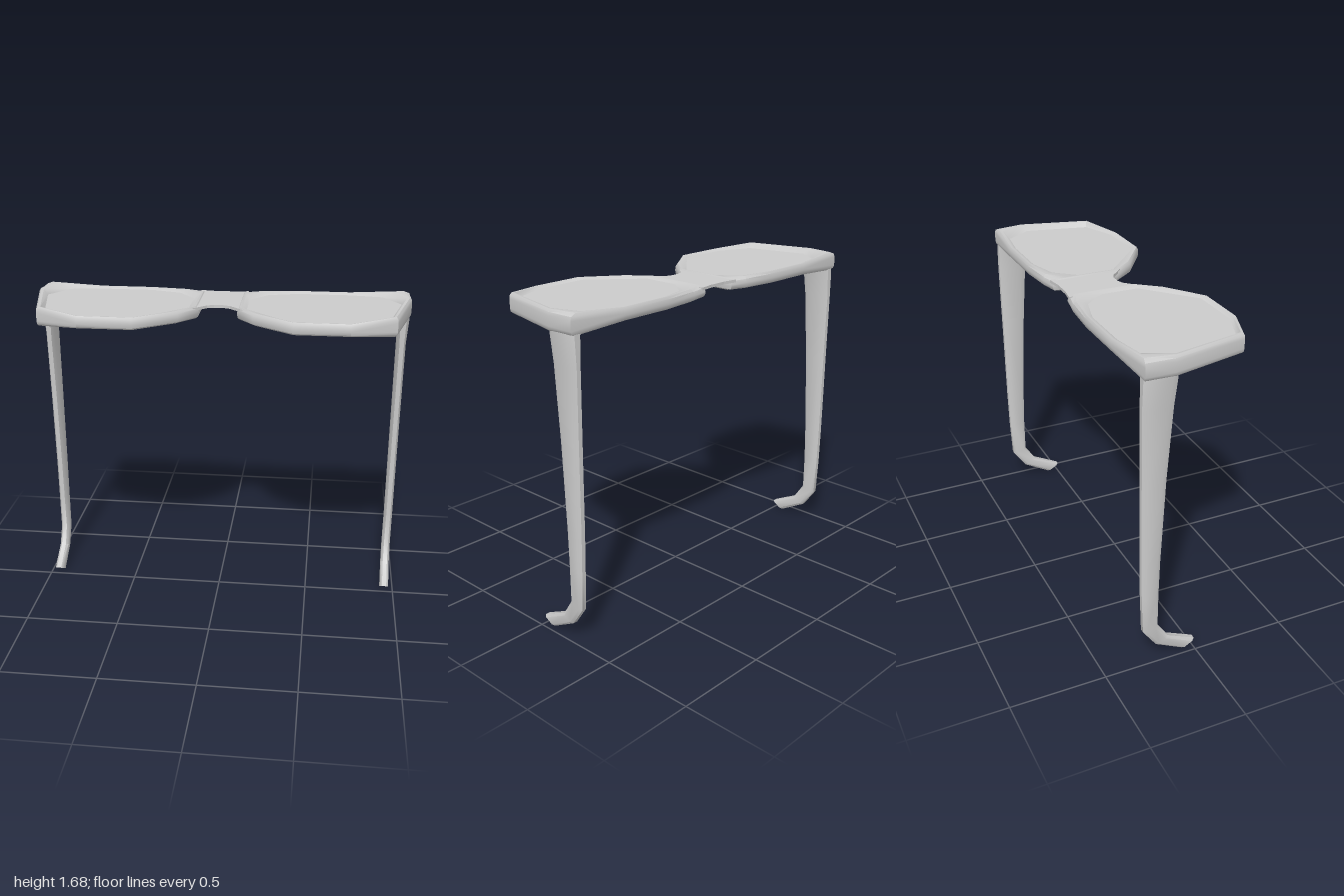
import * as THREE from 'three';
import { toCreasedNormals } from 'three/addons/utils/BufferGeometryUtils.js';

const material = new THREE.MeshStandardMaterial({ color: 0xcccccc, side: THREE.DoubleSide });

// Outer rim and lens outlines of the left half as matching [x, z] pairs
const OUTER = [[0.1, -0.3], [0.2, -0.315], [0.4, -0.33], [0.68, -0.33], [1, -0.31], [1, -0.16],
  [0.91, 0.23], [0.68, 0.325], [0.4, 0.325], [0.19, 0.18], [0.1, 0.06]];
const LENS = [[0.15, -0.14], [0.24, -0.25], [0.4, -0.295], [0.68, -0.295], [0.85, -0.27], [0.945, -0.13],
  [0.87, 0.21], [0.68, 0.285], [0.4, 0.285], [0.25, 0.15], [0.15, 0.06]];

// Skin a list of rings; side -1 mirrors across x and keeps the faces outward
function loft(rings, side, { loop = false, ringClosed = false, cap = false }) {
  const n = rings[0].length;
  const positions = rings.flat().flatMap(([x, y, z]) => [x * side, y, z]);
  const index = [];
  const tri = (a, b, c) => index.push(...(side > 0 ? [a, b, c] : [a, c, b]));
  for (let i = 0; i < rings.length - (loop ? 0 : 1); i++) {
    const k = (i + 1) % rings.length;
    for (let j = 0; j < n - (ringClosed ? 0 : 1); j++) {
      const m = (j + 1) % n;
      const a = i * n + j, b = k * n + j, c = k * n + m, d = i * n + m;
      tri(a, b, c);
      tri(a, c, d);
    }
  }
  if (cap) {
    const last = (rings.length - 1) * n;
    for (let j = 1; j < n - 1; j++) {
      tri(0, j, j + 1);
      tri(last, last + j + 1, last + j);
    }
  }
  const geometry = new THREE.BufferGeometry();
  geometry.setAttribute('position', new THREE.Float32BufferAttribute(positions, 3));
  geometry.setIndex(index);
  return toCreasedNormals(geometry, 0.75);
}

// Flat slab from an [x, z] outline
function slab(points, bottom, top) {
  const shape = new THREE.Shape(points.map(([x, z]) => new THREE.Vector2(x, -z)));
  return new THREE.ExtrudeGeometry(shape, { depth: top - bottom, bevelEnabled: false })
    .rotateX(-Math.PI / 2).translate(0, bottom, 0);
}

// Rounded rim that thickens toward the hinge corners
function rimGeometry(side) {
  const rings = OUTER.map(([ox, oz], i) => {
    const [lx, lz] = LENS[i];
    const grow = 0.02 * THREE.MathUtils.clamp((ox - 0.7) / 0.23, 0, 1);
    const top = 1.665 + grow, bottom = 1.602 - grow;
    const section = [[0, 1.655], [0.45, top - 0.002], [0.75, top], [0.95, top - 0.012], [1, top - 0.03],
      [1, bottom + 0.025], [0.95, bottom + 0.008], [0.75, bottom], [0, 1.605]];
    return section.map(([t, y]) => [lx + (ox - lx) * t, y, lz + (oz - lz) * t]);
  });
  return loft(rings, side, { loop: true });
}

// Temple arm: front [y, z], back [y, z], inner x, outer x
const ARM = [
  [1.64, -0.135, 1.64, -0.305, 0.92, 0.992],
  [1.57, -0.138, 1.57, -0.308, 0.928, 0.994],
  [1.43, -0.153, 1.43, -0.31, 0.938, 0.985],
  [1.05, -0.18, 1.05, -0.305, 0.938, 0.984],
  [0.6, -0.2, 0.6, -0.3, 0.938, 0.983],
  [0.4, -0.205, 0.4, -0.295, 0.938, 0.983],
  [0.21, -0.205, 0.19, -0.285, 0.936, 0.982],
  [0.12, -0.145, 0.085, -0.21, 0.932, 0.979],
  [0.045, 0.01, 0.005, -0.06, 0.926, 0.974],
];
function templeGeometry(side) {
  // [across, front to back] around the chamfered section
  const section = [[1, 0.2], [1, 0.8], [0.75, 1], [0.25, 1], [0, 0.8], [0, 0.2], [0.25, 0], [0.75, 0]];
  const rings = ARM.map(([fy, fz, by, bz, inner, outer]) => section.map(([u, v]) =>
    [inner + (outer - inner) * u, fy + (by - fy) * v, fz + (bz - fz) * v]));
  return loft(rings, side, { ringClosed: true, cap: true });
}

export function createModel() {
  const glasses = new THREE.Group();
  glasses.name = 'glasses';
  const add = (name, geometry) => {
    const mesh = new THREE.Mesh(geometry, material);
    mesh.name = name;
    glasses.add(mesh);
  };

  for (const [label, side] of [['left', 1], ['right', -1]]) {
    add(label + 'Rim', rimGeometry(side));
    add(label + 'Lens', slab(LENS.map(([x, z]) => [x * side, z]), 1.605, 1.655));
    add(label + 'Temple', templeGeometry(side));
  }

  // Thin bridge, raised above the underside of the rims
  const half = [[0.05, -0.292], [0.13, -0.304], [0.13, 0.09], [0.1, 0.06], [0.06, 0.02], [0.025, 0.007]];
  const mirrored = half.map(([x, z]) => [-x, z]).reverse();
  add('bridge', slab([...half, ...mirrored], 1.645, 1.66));

  return glasses;
}
